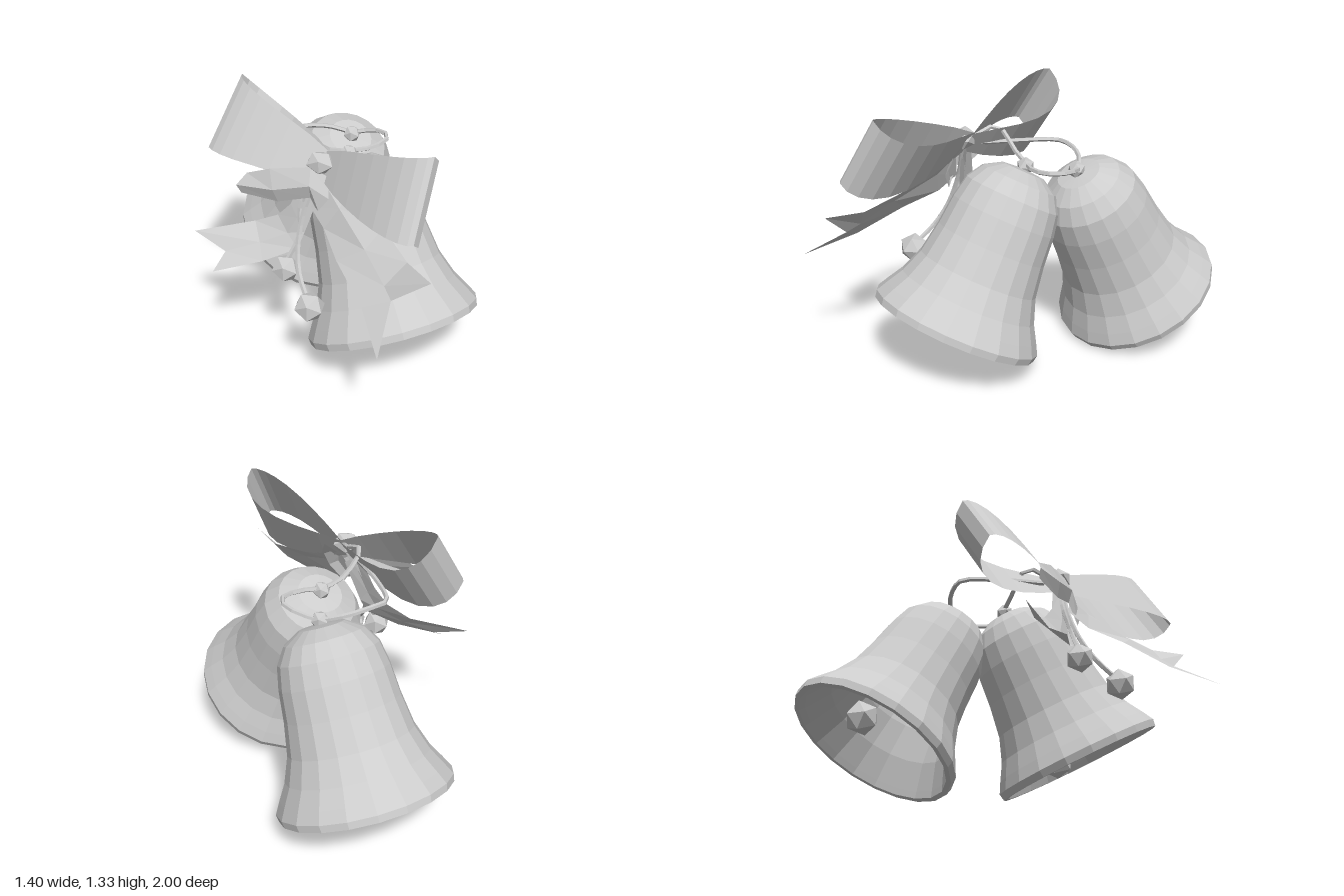
import * as THREE from 'three';

const V = (x, y, z) => new THREE.Vector3(x, y, z);

export function createModel() {
  const root = new THREE.Group();
  root.name = 'bellsWithBow';
  const grey = new THREE.MeshStandardMaterial({ color: 0xcccccc, flatShading: true, side: THREE.DoubleSide });
  grey.name = 'pale grey';

  const add = (name, geometry, position, parent = root) => {
    const mesh = new THREE.Mesh(geometry, grey);
    mesh.name = name;
    if (position) mesh.position.copy(position);
    parent.add(mesh);
    return mesh;
  };

  // Strip lofted through rows of points running across the ribbon
  const ribbon = (name, rows) => {
    const n = rows[0].length, index = [];
    for (let i = 0; i < rows.length - 1; i++) {
      for (let j = 0; j < n - 1; j++) {
        const a = i * n + j, b = a + n;
        index.push(a, b, a + 1, b, b + 1, a + 1);
      }
    }
    const g = new THREE.BufferGeometry().setFromPoints(rows.flat());
    g.setIndex(index);
    g.computeVertexNormals();
    return add(name, g);
  };

  // Bell wall: inside from crown to lip, then outside back to the crown
  const profile = [
    [0, 0.82], [0.14, 0.785], [0.22, 0.7], [0.25, 0.55], [0.272, 0.32], [0.32, 0.16], [0.383, 0.03],
    [0.398, 0], [0.424, 0], [0.43, 0.035], [0.4, 0.09], [0.353, 0.17], [0.308, 0.29],
    [0.282, 0.45], [0.268, 0.6], [0.246, 0.71], [0.195, 0.79], [0.11, 0.84], [0, 0.85],
  ].map(([r, h]) => new THREE.Vector2(r, h));
  const bell = (name, rim, axis, clapper) => {
    const group = new THREE.Group();
    group.name = name;
    root.add(group);
    const body = add(name + 'Body', new THREE.LatheGeometry(profile, 20), rim, group);
    body.quaternion.setFromUnitVectors(V(0, 1, 0), axis.clone().normalize());
    add(name + 'Clapper', new THREE.IcosahedronGeometry(0.085), clapper, group);
    const top = rim.clone().addScaledVector(axis.clone().normalize(), 0.865);
    add(name + 'Hanger', new THREE.IcosahedronGeometry(0.045), top, group);
  };
  bell('frontBell', V(0.3, 0.23, 0.268), V(-0.33, 0.87, -0.36), V(0.225, 0.225, 0.165));
  bell('backBell', V(-0.29, 0.207, -0.605), V(0.31, 0.87, 0.36), V(-0.34, 0.33, -0.64));

  // Bow loops: teardrop bands that widen away from the knot, the rear strand bulging further
  const knot = V(-0.05, 1.07, 0.25);
  const loop = (name, out, width, front, back) => {
    const side = width.clone().cross(out).normalize();
    const rows = [];
    for (let i = 0; i <= 16; i++) {
      const t = Math.PI * i / 16, a = Math.max(Math.sin(t), 0), bulge = Math.sin(2 * t);
      const mid = knot.clone().addScaledVector(out, a).addScaledVector(side, (i > 8 ? back : front) * bulge);
      mid.y -= 0.03 * Math.abs(bulge);
      const w = 0.17 + 0.33 * a ** 0.75;
      rows.push([-w, 0, w].map(k => mid.clone().addScaledVector(width, k)));
    }
    ribbon(name, rows);
  };
  loop('leftBowLoop', V(0.51, 0.1, 0.41), V(-0.05, -0.32, 0.19), 0.07, 0.11);
  loop('rightBowLoop', V(-0.54, 0.11, -0.26), V(-0.13, -0.31, 0.18), -0.07, -0.15);

  const center = add('bowKnot', new THREE.IcosahedronGeometry(0.065), V(-0.06, 1.09, 0.27));
  center.scale.set(1.1, 0.9, 0.9);

  // Tails with swallow-cut ends, and the short fold in front of the knot
  ribbon('leftTail', [
    [V(0.05, 1.08, 0.26), V(-0.03, 1.0, 0.31), V(-0.1, 0.88, 0.32)],
    [V(0.08, 0.98, 0.35), V(0.05, 0.93, 0.39), V(-0.02, 0.82, 0.4)],
    [V(0.27, 0.92, 0.5), V(0.2, 0.84, 0.57), V(0.07, 0.76, 0.56)],
    [V(0.4, 0.86, 0.66), V(0.31, 0.76, 0.71), V(0.22, 0.67, 0.76)],
    [V(0.52, 0.87, 0.81), V(0.35, 0.73, 0.77), V(0.33, 0.59, 1.0)],
  ]);
  ribbon('rightTail', [
    [V(-0.13, 1.03, 0.25), V(-0.09, 1.0, 0.28), V(-0.05, 0.97, 0.29)],
    [V(-0.21, 0.85, 0.26), V(-0.17, 0.8, 0.3), V(-0.13, 0.74, 0.32)],
    [V(-0.28, 0.77, 0.24), V(-0.22, 0.71, 0.3), V(-0.16, 0.66, 0.35)],
    [V(-0.4, 0.71, 0.22), V(-0.36, 0.64, 0.3), V(-0.33, 0.58, 0.37)],
    [V(-0.7, 0.64, 0.26), V(-0.53, 0.58, 0.32), V(-0.57, 0.515, 0.41)],
  ]);
  ribbon('frontFold', [
    [V(0.06, 1.0, 0.31), V(0.04, 0.92, 0.35), V(-0.04, 0.83, 0.35)],
    [V(-0.1, 1.08, 0.3), V(-0.1, 1.0, 0.34), V(-0.1, 0.93, 0.32)],
    [V(-0.3, 1.04, 0.28), V(-0.28, 0.95, 0.32), V(-0.26, 0.88, 0.3)],
    [V(-0.42, 0.99, 0.25), V(-0.47, 0.93, 0.27), V(-0.45, 0.885, 0.26)],
  ]);

  // Cords joining the bells and carrying the beads
  const cord = (name, points) => add(name,
    new THREE.TubeGeometry(new THREE.CatmullRomCurve3(points), 14, 0.012, 5));
  cord('bellCord', [
    V(-0.06, 1.08, 0.25), V(-0.15, 1.13, 0.12), V(-0.08, 1.03, 0.02), V(0, 1.0, -0.04), V(0.12, 1.0, -0.1),
    V(0.18, 1.01, -0.21), V(0.1, 1.0, -0.29), V(-0.02, 0.97, -0.3),
  ]);
  cord('sideCord', [
    V(-0.02, 0.97, -0.3), V(-0.14, 1.0, -0.29), V(-0.25, 1.02, -0.23), V(-0.31, 1.02, -0.16),
    V(-0.24, 1.03, 0.02), V(-0.12, 1.05, 0.2),
  ]);
  cord('upperBeadCord', [
    V(-0.06, 1.05, 0.27), V(-0.15, 0.88, 0.3), V(-0.15, 0.74, 0.34), V(-0.21, 0.6, 0.39),
  ]);
  cord('lowerBeadCord', [
    V(-0.06, 1.05, 0.28), V(-0.13, 0.86, 0.32), V(-0.15, 0.7, 0.38), V(-0.13, 0.59, 0.45), V(-0.07, 0.5, 0.54),
  ]);
  add('upperBead', new THREE.IcosahedronGeometry(0.07), V(-0.21, 0.57, 0.39));
  add('lowerBead', new THREE.IcosahedronGeometry(0.075), V(-0.06, 0.48, 0.55));

  return root;
}
